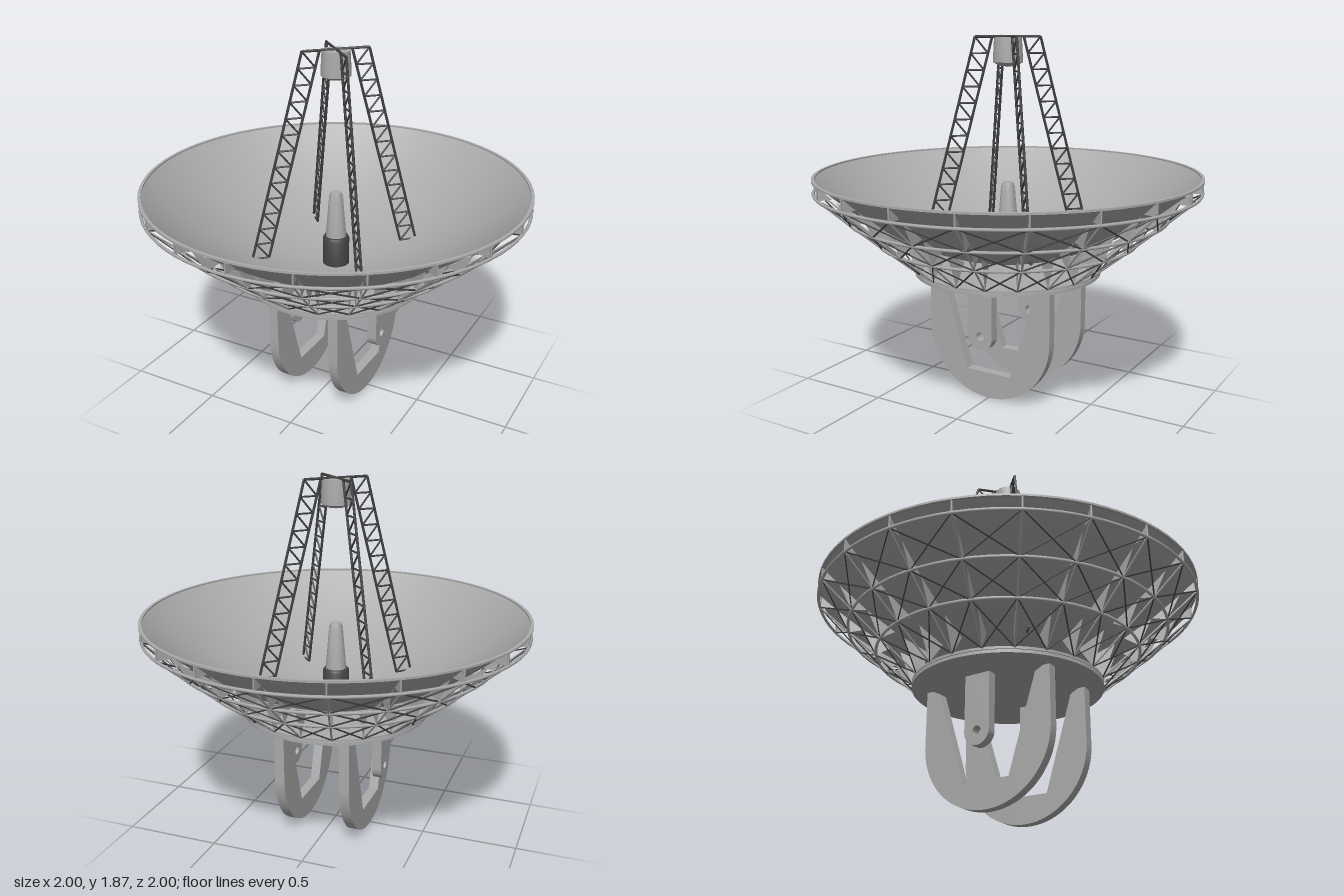
import * as THREE from 'three';
import { mergeGeometries, toCreasedNormals } from 'three/addons/utils/BufferGeometryUtils.js';

const paint = (name, color) => {
  const m = new THREE.MeshStandardMaterial({ color, side: THREE.DoubleSide });
  m.name = name;
  return m;
};
const grey = paint('painted grey', 0xaaaaaa);
const dark = paint('dark steel', 0x444444);

const V = (x, y, z) => new THREE.Vector3(x, y, z);
const polar = (r, y, a) => V(r * Math.cos(a), y, r * Math.sin(a));
const dishY = (r) => 0.72 + 0.465 * r * r;

// Thin rod between two points
function rod(a, b, radius, sides = 5) {
  const dir = b.clone().sub(a);
  const g = new THREE.CylinderGeometry(radius, radius, dir.length(), sides);
  g.applyQuaternion(new THREE.Quaternion().setFromUnitVectors(V(0, 1, 0), dir.normalize()));
  const mid = a.clone().add(b).multiplyScalar(0.5);
  return g.translate(mid.x, mid.y, mid.z);
}

function lathe(points, segments) {
  const profile = points.map(([r, y]) => new THREE.Vector2(r, y));
  return toCreasedNormals(new THREE.LatheGeometry(profile, segments), 0.6);
}

// Plate drawn in the side plane and given a thickness along x
function sidePlate(shape, thickness, x) {
  const g = new THREE.ExtrudeGeometry(shape, { depth: thickness, bevelEnabled: false, curveSegments: 32 });
  g.translate(0, 0, -thickness / 2).rotateY(-Math.PI / 2).translate(x, 0, 0);
  return toCreasedNormals(g, 0.6);
}

export function createModel() {
  const model = new THREE.Group();
  model.name = 'radioDish';
  const add = (name, geometry, material = grey) => {
    const m = new THREE.Mesh(geometry, material);
    m.name = name;
    model.add(m);
  };

  // Reflector bowl and its rim
  const bowl = [];
  for (let i = 0; i <= 20; i++) {
    const r = Math.max(0.001, i * 0.0492);
    bowl.push([r, dishY(r)]);
  }
  add('reflectorBowl', lathe(bowl, 80));
  add('bowlRim', lathe([[0.982, 1.166], [0.998, 1.166], [0.998, 1.176], [0.982, 1.176], [0.982, 1.166]], 80));

  // Hoops of the backing frame
  const nodes = [[0.488, 0.68], [0.68, 0.835], [0.83, 0.962], [0.99, 1.102]];
  nodes.slice(1).forEach(([r, y], i) => {
    const g = new THREE.TorusGeometry(r, 0.008, 6, 80).rotateX(Math.PI / 2).translate(0, y, 0);
    add('frameHoop' + (i + 1), g);
  });

  // Ribs: chords, gusset plates and cross braces around the bowl
  const ribs = 20, step = (Math.PI * 2) / ribs;
  const chords = [], braces = [], gussets = [];
  for (let i = 0; i < ribs; i++) {
    const a = i * step, b = a + step;
    for (let k = 0; k < 3; k++) {
      const [r0, y0] = nodes[k], [r1, y1] = nodes[k + 1];
      chords.push(rod(polar(r0, y0, a), polar(r1, y1, a), 0.005));
      braces.push(rod(polar(r0, y0, a), polar(r1, y1, b), 0.004, 4));
      braces.push(rod(polar(r0, y0, b), polar(r1, y1, a), 0.004, 4));
    }
    chords.push(rod(polar(0.99, 1.102, a), polar(0.99, 1.17, a), 0.005));
    for (const [r, y] of nodes) {
      const inner = r - 0.075, outer = Math.min(r + 0.07, 0.984);
      const tri = new THREE.Shape([
        new THREE.Vector2(r, y),
        new THREE.Vector2(outer, dishY(outer) - 0.008),
        new THREE.Vector2(inner, dishY(inner) - 0.008),
      ]);
      gussets.push(new THREE.ShapeGeometry(tri).rotateY(-a));
    }
  }
  add('ribChords', mergeGeometries(chords));
  add('crossBraces', mergeGeometries(braces), dark);
  add('ribGussets', mergeGeometries(gussets));

  // Turntable drum under the bowl
  add('baseDrum', lathe([[0.001, 0.652], [0.49, 0.652], [0.49, 0.668], [0.484, 0.668],
    [0.484, 0.671], [0.49, 0.671], [0.49, 0.684], [0.001, 0.684]], 64));

  // Four lattice legs holding the receiver
  const yTop = 1.865, yLow = 0.8, bays = 13;
  const outerR = (y) => 0.17 + ((yTop - y) / (yTop - yLow)) * 0.28;
  const innerR = (y) => outerR(y) - 0.088;
  for (let q = 0; q < 4; q++) {
    const a = Math.PI / 4 + (q * Math.PI) / 2;
    const p = (f, y) => polar(f(y), y, a);
    const parts = [
      rod(p(outerR, yLow), p(outerR, yTop), 0.007),
      rod(p(innerR, yLow), p(innerR, yTop), 0.007),
      rod(p(outerR, yTop), polar(0, yTop, a), 0.007),
    ];
    for (let i = 0; i < bays; i++) {
      const y0 = yLow + ((yTop - yLow) * i) / bays;
      const y1 = yLow + ((yTop - yLow) * (i + 1)) / bays;
      parts.push(rod(p(innerR, y0), p(outerR, y0), 0.005));
      parts.push(rod(p(innerR, y0), p(outerR, y1), 0.005));
    }
    add('latticeLeg' + (q + 1), mergeGeometries(parts), dark);
  }

  // Receiver head at the top
  add('receiverHead', lathe([[0.001, 1.715], [0.05, 1.724], [0.076, 1.738], [0.076, 1.755],
    [0.07, 1.862], [0.001, 1.862]], 24));

  // Feed column and horn in the middle of the bowl
  add('feedColumn', lathe([[0.07, 0.722], [0.07, 0.865], [0.063, 0.877], [0.054, 0.88]], 24), dark);
  add('feedHorn', lathe([[0.054, 0.88], [0.036, 1.1], [0.028, 1.125], [0.001, 1.125]], 24));

  // Yoke plates and pivot lugs on both sides
  const yoke = new THREE.Shape();
  yoke.moveTo(0.36, 0.655);
  yoke.lineTo(0.36, 0.36);
  yoke.absarc(0, 0.36, 0.36, 0, Math.PI, true);
  yoke.lineTo(-0.36, 0.655);
  yoke.lineTo(-0.33, 0.655);
  yoke.lineTo(-0.28, 0.63);
  yoke.lineTo(-0.13, 0.14);
  yoke.lineTo(0.13, 0.14);
  yoke.lineTo(0.28, 0.63);
  yoke.lineTo(0.33, 0.655);

  const lug = new THREE.Shape();
  lug.moveTo(0.07, 0.655);
  lug.lineTo(0.07, 0.36);
  lug.absarc(0, 0.36, 0.07, 0, Math.PI, true);
  lug.lineTo(-0.07, 0.655);
  const hole = new THREE.Path();
  hole.absarc(0, 0.363, 0.023, 0, Math.PI * 2, false);
  lug.holes.push(hole);

  for (const [side, s] of [['left', 1], ['right', -1]]) {
    add(side + 'Yoke', sidePlate(yoke, 0.052, s * 0.176));
    add(side + 'PivotLug', sidePlate(lug, 0.05, s * 0.254));
  }
  return model;
}
